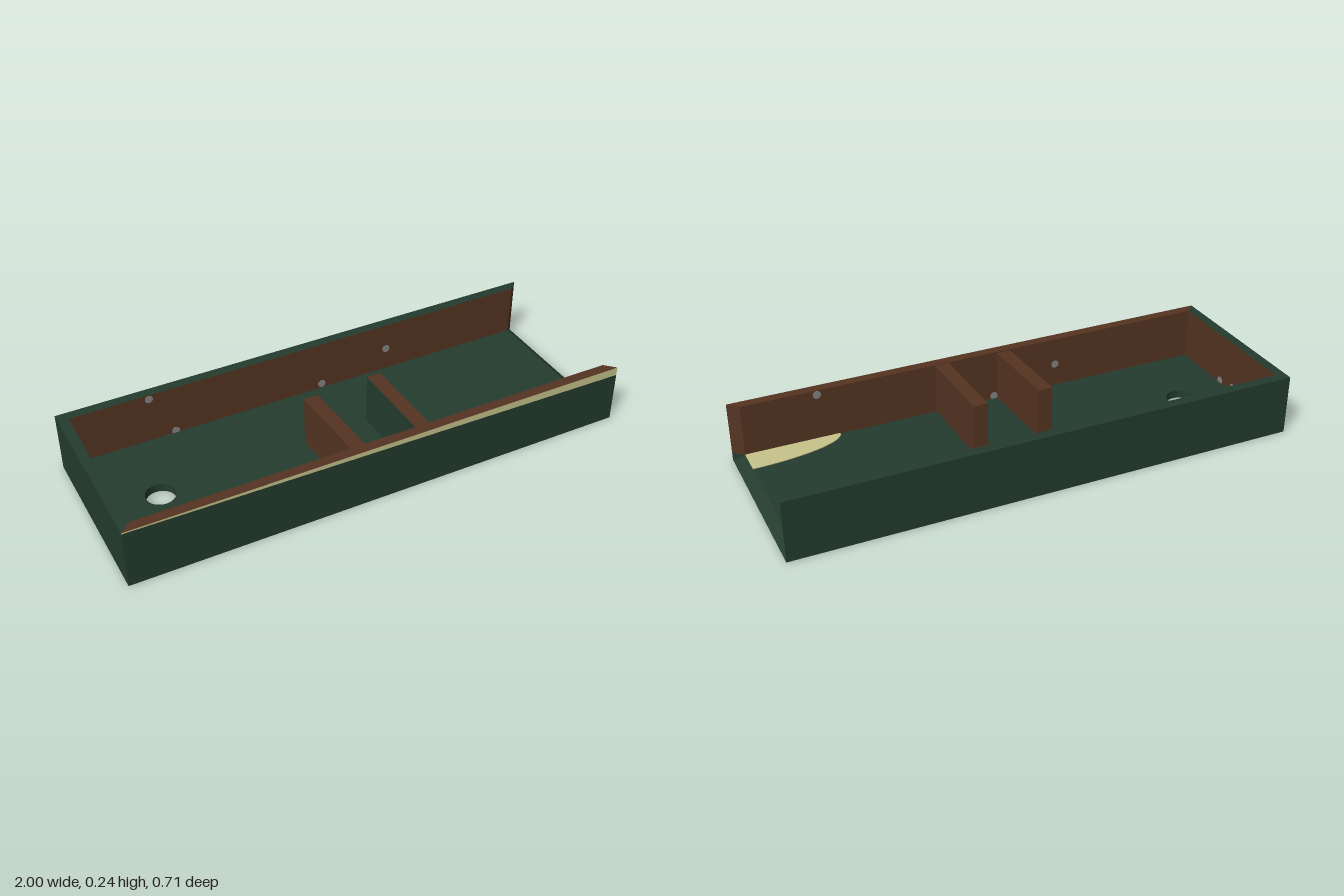
import * as THREE from 'three';

const mat = (name, color) =>
  Object.assign(new THREE.MeshStandardMaterial({ color, side: THREE.DoubleSide }), { name });

export function createModel() {
  const group = new THREE.Group();
  const green = mat('dark green', 0x243c2e);
  const brown = mat('wood brown', 0x553422);
  const cream = mat('sand cream', 0xc8c48c);
  const grey = mat('grey', 0x858585);

  const X = 1, Z = 0.353, XI = 0.96, ZI = 0.313, H = 0.24, F = 0.033;

  const add = (name, geometry, material) => {
    const mesh = new THREE.Mesh(geometry, material);
    mesh.name = name;
    group.add(mesh);
    return mesh;
  };

  // Flat polygon from corners listed counter-clockwise as seen from outside
  const panel = (name, material, ...pts) => {
    const g = new THREE.BufferGeometry();
    const tri = [];
    for (let i = 1; i < pts.length - 1; i++) tri.push(...pts[0], ...pts[i], ...pts[i + 1]);
    g.setAttribute('position', new THREE.Float32BufferAttribute(tri, 3));
    g.computeVertexNormals();
    return add(name, g, material);
  };

  // Floor slab with a round hole, its upper outline drawn in
  const outline = new THREE.Shape([[-X, -Z], [X, -Z], [X, Z], [-X, Z]].map(p => new THREE.Vector2(...p)));
  outline.holes.push(new THREE.Path().absarc(-0.745, 0, 0.057, 0, Math.PI * 2, true));
  const floor = new THREE.ExtrudeGeometry(outline, { depth: F, bevelEnabled: false, curveSegments: 16 });
  floor.rotateX(-Math.PI / 2);
  const p = floor.attributes.position;
  for (let i = 0; i < p.count; i++) {
    if (p.getY(i) > F / 2 && Math.abs(p.getX(i)) > 0.99) {
      p.setX(i, Math.sign(p.getX(i)) * XI);
      p.setZ(i, Math.sign(p.getZ(i)) * ZI);
    }
  }
  floor.computeVertexNormals();
  add('floor', floor, green);

  // Back wall
  panel('backWallOuter', green, [X, 0, -Z], [-X, 0, -Z], [-X, H, -Z], [X, H, -Z]);
  panel('backWallRim', green, [-X, H, -Z], [-XI, H, -ZI], [XI, H, -ZI], [X, H, -Z]);
  panel('backWallInner', brown, [-XI, F, -ZI], [XI, F, -ZI], [XI, H, -ZI], [-XI, H, -ZI]);

  // Front wall, with a tapering cream band along the top of its outer face
  const yl = 0.235, yr = 0.205;
  panel('frontWallOuter', green, [-X, 0, Z], [X, 0, Z], [X, yr, Z], [-X, yl, Z]);
  panel('frontWallBand', cream, [-X, yl, Z], [X, yr, Z], [X, H, Z], [-X, H, Z]);
  panel('frontWallRim', brown, [-XI, H, ZI], [-X, H, Z], [X, H, Z], [XI, H, ZI]);
  panel('frontWallInner', brown, [XI, F, ZI], [-XI, F, ZI], [-XI, H, ZI], [XI, H, ZI]);

  // Closed end wall
  panel('endWallOuter', green, [-X, 0, -Z], [-X, 0, Z], [-X, H, Z], [-X, H, -Z]);
  panel('endWallRim', green, [-X, H, -Z], [-X, H, Z], [-XI, H, ZI], [-XI, H, -ZI]);
  panel('endWallInner', brown, [-XI, F, ZI], [-XI, F, -ZI], [-XI, H, -ZI], [-XI, H, ZI]);

  // Slanted wall ends at the open side: brown above the floor, green below
  for (const s of [-1, 1]) {
    const order = pts => (s > 0 ? pts : pts.reverse());
    panel('wallEnd', brown, ...order([[XI, F, s * ZI], [XI, H, s * ZI], [X, H, s * Z], [X, F, s * Z]]));
    panel('wallEndFoot', green, ...order([[XI, F, s * ZI], [X, F, s * Z], [X, 0, s * Z]]));
  }

  // Two dividers reaching in from the front wall, each slightly skewed
  const divider = (name, xBack, xFront, zBack, top, leftFace) => {
    const len = ZI - zBack;
    const g = new THREE.BoxGeometry(0.057, top - F, len);
    const q = g.attributes.position;
    for (let i = 0; i < q.count; i++) {
      const t = q.getZ(i) / len + 0.5;
      q.setX(i, q.getX(i) + xBack + (xFront - xBack) * t);
    }
    g.translate(0, (top + F) / 2, zBack + len / 2);
    g.computeVertexNormals();
    add(name, g, [brown, leftFace, brown, brown, brown, brown]);
  };
  divider('firstDivider', -0.12, -0.103, -0.03, 0.235, brown);
  divider('secondDivider', 0.152, 0.159, -0.042, 0.237, green);

  // Sand patch in the front corner of the floor
  const sand = new THREE.Shape();
  sand.moveTo(XI, -ZI);
  sand.lineTo(XI, -ZI + 0.108);
  sand.absellipse(XI, -ZI, 0.372, 0.108, Math.PI / 2, Math.PI, false);
  const sandGeo = new THREE.ExtrudeGeometry(sand, { depth: 0.003, bevelEnabled: false, curveSegments: 24 });
  sandGeo.rotateX(-Math.PI / 2).translate(0, F, 0);
  add('sandPatch', sandGeo, cream);

  // Small grey marks on the inner walls: [x, y] on long walls, [z, y] on the end wall
  const mark = new THREE.CylinderGeometry(0.016, 0.016, 0.004, 14).rotateX(Math.PI / 2);
  for (const [x, y] of [[-0.653, 0.222], [-0.56, 0.042], [0.067, 0.052], [0.36, 0.128]])
    add('wallMark', mark, grey).position.set(x, y, -ZI);
  for (const [x, y] of [[0.667, 0.222], [-0.333, 0.128], [-0.06, 0.045]])
    add('wallMark', mark, grey).position.set(x, y, ZI);
  for (const [z, y] of [[-0.293, 0.128], [-0.047, 0.05], [0.042, 0.041]]) {
    const m = add('wallMark', mark, grey);
    m.position.set(-XI, y, z);
    m.rotation.y = Math.PI / 2;
  }
  return group;
}
